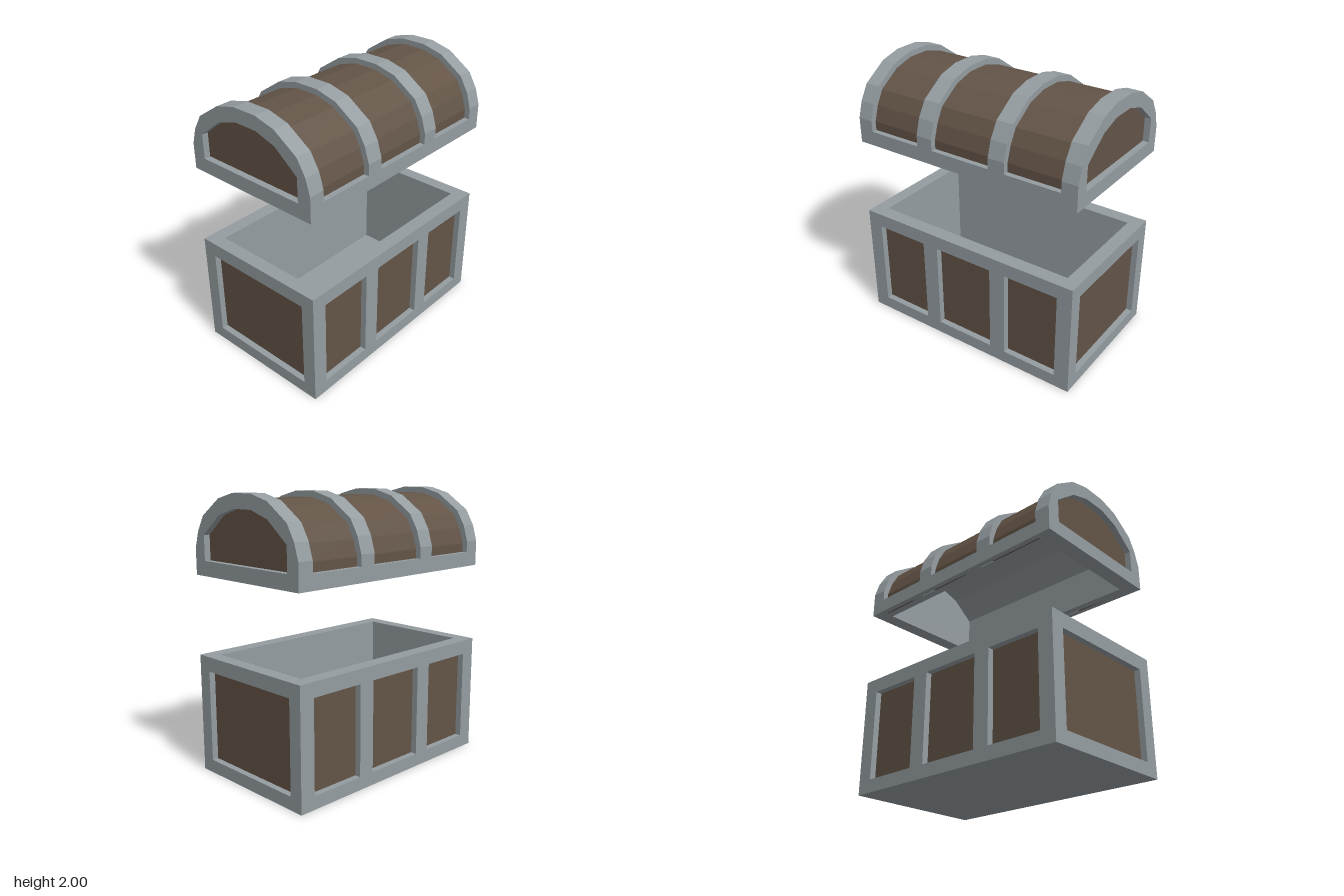
import * as THREE from 'three';

const metal = new THREE.MeshStandardMaterial({ color: 0x959da1, flatShading: true });
const wood = new THREE.MeshStandardMaterial({ color: 0x635447, flatShading: true });

const X = 0.89, Z = 0.53;                 // half length and half depth
const BODY_TOP = 0.86, LID_BASE = 1.43;
const REC = 0.05;                         // depth of the body panels
const SPANS = [[-0.775, -0.36], [-0.235, 0.23], [0.355, 0.775]];
const RIBS = [[-X, -0.775], [-0.36, -0.235], [0.23, 0.355], [0.775, X]];

// Half profiles of the lid, (z, y) from the base up to the crown
const OUTER = [[Z, LID_BASE], [Z, 1.615], [0.495, 1.73], [0.43, 1.84], [0.25, 1.96], [0.093, 2]];
const SKIN = [[0.49, LID_BASE], [0.49, 1.6], [0.455, 1.71], [0.4, 1.81], [0.235, 1.92], [0.085, 1.96]];
const LINER = SKIN.map(([z, y]) => [z * 0.98, y === LID_BASE ? y : y - 0.01]);
const INNER = [[0.425, LID_BASE], [0.425, 1.71], [0.25, 1.85], [0.09, 1.9]];
const END_PANEL = [[0.427, 1.535], [0.427, 1.71], [0.25, 1.85], [0.09, 1.9]];

const mirrored = (half) => [...half, ...half.map(([z, y]) => [-z, y]).reverse()];
const toShape = (pts) => new THREE.Shape(pts.map(([a, b]) => new THREE.Vector2(a, b)));
const rect = (a0, b0, a1, b1) => [[a0, b0], [a1, b0], [a1, b1], [a0, b1]];
const arch = (half) => toShape(mirrored(half));
// Band between two arches, open at the base
const band = (outer, inner) => toShape([...mirrored(outer), ...mirrored(inner).reverse()]);

function withHoles(shape, holes) {
  holes.forEach((h) => shape.holes.push(toShape(h)));
  return shape;
}

function add(group, name, geometry, material) {
  const mesh = new THREE.Mesh(geometry, material);
  mesh.name = name;
  group.add(mesh);
  return mesh;
}

const extrude = (shape, depth) => new THREE.ExtrudeGeometry(shape, { depth, bevelEnabled: false });

// Extrude a (z, y) shape from x0 to x1
const alongX = (shape, x0, x1) => extrude(shape, x1 - x0).rotateY(Math.PI / 2).translate(x0, 0, 0);

function box(x0, x1, y0, y1, z0, z1) {
  return new THREE.BoxGeometry(x1 - x0, y1 - y0, z1 - z0)
    .translate((x0 + x1) / 2, (y0 + y1) / 2, (z0 + z1) / 2);
}

function buildBody() {
  const g = new THREE.Group();
  g.name = 'body';
  const lx = X - REC, lz = Z - REC;

  // Hollow inner box with its floor
  const walls = withHoles(toShape(rect(-lx, -lz, lx, lz)), [rect(-0.79, -0.425, 0.79, 0.425)]);
  add(g, 'innerWalls', extrude(walls, BODY_TOP).rotateX(-Math.PI / 2), metal);
  add(g, 'floor', box(-0.8, 0.8, 0, 0.1, -0.43, 0.43), metal);

  // Front and back frames with three panels each
  const longFrame = withHoles(toShape(rect(-X, 0, X, BODY_TOP)),
    SPANS.map(([a, b]) => rect(a, 0.095, b, 0.755)));
  for (const s of [1, -1]) {
    const side = s > 0 ? 'front' : 'back';
    add(g, side + 'Frame', extrude(longFrame, REC).translate(0, 0, s > 0 ? lz : -Z), metal);
    for (const [a, b] of SPANS) {
      add(g, side + 'Panel', box(a, b, 0.095, 0.755, s * lz - 0.004, s * lz + 0.004), wood);
    }
  }

  // End frames with one panel each
  const endFrame = withHoles(toShape(rect(-lz, 0, lz, BODY_TOP)), [rect(-0.427, 0.095, 0.427, 0.755)]);
  for (const s of [1, -1]) {
    add(g, 'endFrame', alongX(endFrame, s > 0 ? lx : -X, s > 0 ? X : -lx), metal);
    add(g, 'endPanel', box(s * lx - 0.004, s * lx + 0.004, 0.095, 0.755, -0.427, 0.427), wood);
  }
  return g;
}

function buildLid() {
  const g = new THREE.Group();
  g.name = 'lid';
  const lx = X - REC;

  // Vault lining and the ribs over it
  add(g, 'lining', alongX(band(LINER, INNER), -0.78, 0.78), metal);
  for (const [a, b] of RIBS) add(g, 'rib', alongX(band(OUTER, SKIN), a, b), metal);

  // Curved boards and lower rails between the ribs
  for (const [a, b] of SPANS) {
    add(g, 'boards', alongX(band(SKIN, LINER), a, b), wood);
    for (const s of [1, -1]) {
      add(g, 'rail', box(a, b, LID_BASE, 1.535, s > 0 ? 0.48 : -Z, s > 0 ? Z : -0.48), metal);
    }
  }

  // End walls, their frames and panels
  const frame = withHoles(arch(SKIN), [mirrored(END_PANEL)]);
  for (const s of [1, -1]) {
    add(g, 'endWall', alongX(arch(SKIN), s > 0 ? 0.78 : -lx, s > 0 ? lx : -0.78), metal);
    add(g, 'lidEndFrame', alongX(frame, s > 0 ? lx : -X, s > 0 ? X : -lx), metal);
    add(g, 'lidEndPanel', alongX(arch(END_PANEL), s * lx - 0.004, s * lx + 0.004), wood);
  }
  return g;
}

export function createModel() {
  const model = new THREE.Group();
  model.name = 'chest';
  model.add(buildBody(), buildLid());
  return model;
}
